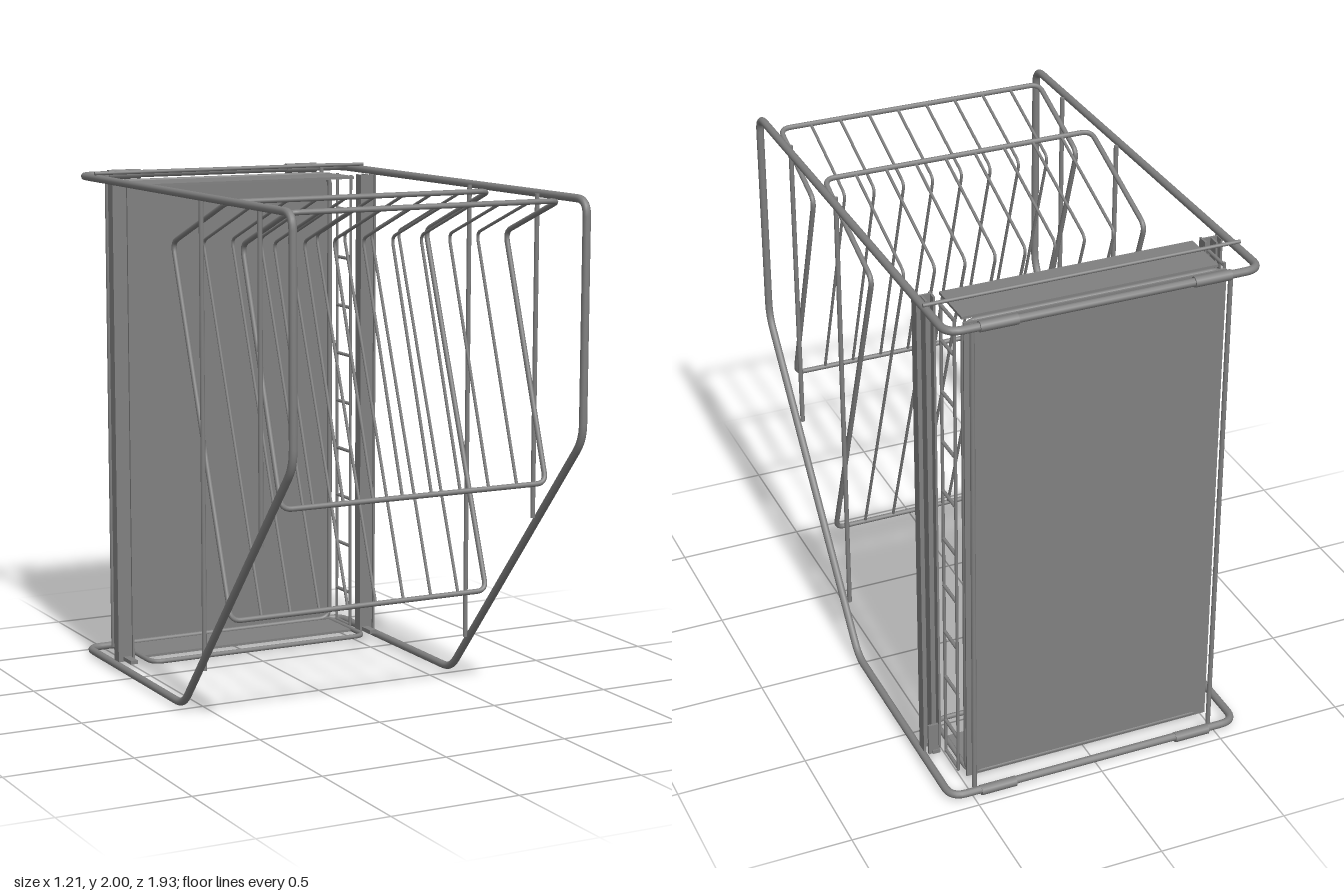
import * as THREE from 'three';

const steel = new THREE.MeshStandardMaterial({ color: 0x808080 });
steel.name = 'grey steel';
const V = (x, y, z) => new THREE.Vector3(x, y, z);

// Path of straight runs whose sampled points become the tube rings
class BentPath extends THREE.Curve {
  constructor(points, closed) {
    super();
    this.points = points;
    this.closed = closed;
  }
  getPoint(t) {
    const n = this.points.length - 1;
    const i = Math.min(Math.floor(t * n + 1e-6), n - 1);
    return this.points[i].clone().lerp(this.points[i + 1], t * n - i);
  }
  getPointAt(t) { return this.getPoint(t); }
  getTangentAt(t) {
    const p = this.points, n = p.length - 1, i = Math.round(t * n);
    const dir = (a) => p[a + 1].clone().sub(p[a]).normalize();
    const before = i > 0 ? dir(i - 1) : this.closed ? dir(n - 1) : dir(0);
    const after = i < n ? dir(i) : this.closed ? dir(0) : dir(n - 1);
    return before.add(after).normalize();
  }
}

// Wire bent with rounded corners
function wire(name, corners, radius, bend, closed = false, sides = 10) {
  const pts = [], n = corners.length;
  corners.forEach((c, i) => {
    if (!closed && (i === 0 || i === n - 1)) return pts.push(c.clone());
    const toward = (q) => c.clone().add(q.clone().sub(c).setLength(Math.min(bend, q.distanceTo(c) * 0.45)));
    const arc = new THREE.QuadraticBezierCurve3(toward(corners[(i + n - 1) % n]), c, toward(corners[(i + 1) % n]));
    pts.push(...arc.getPoints(6));
  });
  if (closed) pts.push(pts[0].clone());
  const path = new BentPath(pts, closed);
  const mesh = new THREE.Mesh(new THREE.TubeGeometry(path, pts.length - 1, radius, sides, closed), steel);
  mesh.name = name;
  return mesh;
}

// Straight capped rod between two points
function rod(name, a, b, radius) {
  const mesh = new THREE.Mesh(new THREE.CylinderGeometry(radius, radius, a.distanceTo(b), 10), steel);
  mesh.position.copy(a).add(b).multiplyScalar(0.5);
  mesh.quaternion.setFromUnitVectors(V(0, 1, 0), b.clone().sub(a).normalize());
  mesh.name = name;
  return mesh;
}

// Box given by its limits on each axis
function box(name, x0, x1, y0, y1, z0, z1) {
  const mesh = new THREE.Mesh(new THREE.BoxGeometry(Math.abs(x1 - x0), y1 - y0, z1 - z0), steel);
  mesh.position.set((x0 + x1) / 2, (y0 + y1) / 2, (z0 + z1) / 2);
  mesh.name = name;
  return mesh;
}

// Bent wire rack: side profile of [z, y] points, closed rim and eight inner wires
function rack(name, profile) {
  const g = new THREE.Group();
  g.name = name;
  const line = (x) => profile.map(([z, y]) => V(x, y, z));
  g.add(wire('rackRim', [...line(-0.545), ...line(0.545).reverse()], 0.01, 0.04, true));
  for (let i = 0; i < 8; i++) g.add(wire('rackWire', line(-0.42 + i * 0.12), 0.006, 0.03, false, 8));
  return g;
}

export function createModel() {
  const model = new THREE.Group();
  model.name = 'wireRackFrame';
  const W = 0.588, top = 1.973, bottom = 0.024, back = -0.945, front = 0.953;

  // Main frame: one continuous bent tube
  const side = (x) => [V(x, top, back), V(x, top, front), V(x, 1.1, front), V(x, bottom, 0.015), V(x, bottom, back)];
  model.add(wire('mainFrame', [...side(W), ...side(-W).reverse()], 0.015, 0.06, true, 12));

  // Two sloping racks
  model.add(rack('frontRack', [[0.775, 0.915], [0.468, 1.82], [0.835, 1.962]]));
  model.add(rack('rearRack', [[0.355, 0.42], [-0.138, 1.775], [0.345, 1.962]]));

  // Back panel with top and bottom plates
  model.add(box('backPanel', -0.495, 0.495, 0.04, 1.955, -0.872, -0.862));
  model.add(box('topPlate', -0.485, 0.485, 1.945, 1.955, -0.83, -0.63));
  model.add(box('bottomPlate', -0.485, 0.485, 0.042, 0.052, -0.83, -0.63));

  // Wire loops around the panel and under the tray
  model.add(wire('panelLoop', [V(-0.49, 0.05, -0.856), V(0.49, 0.05, -0.856),
    V(0.49, 1.95, -0.856), V(-0.49, 1.95, -0.856)], 0.01, 0.05, true));
  model.add(wire('trayLoop', [V(-0.482, 0.05, -0.865), V(0.482, 0.05, -0.865),
    V(0.482, 0.05, -0.52), V(-0.482, 0.05, -0.52)], 0.01, 0.05, true));
  model.add(rod('topRod', V(-0.6, 1.993, -0.768), V(0.6, 1.993, -0.768), 0.007));

  for (const s of [-1, 1]) {
    // Frame sleeves
    for (const y of [top, 0.02])
      model.add(rod('frameSleeve', V(s * 0.33, y, back), V(s * 0.47, y, back), 0.02));

    // Side uprights and rear uprights
    model.add(rod('sideUpright', V(s * 0.566, 0.76, 0.653), V(s * 0.566, top, 0.653), 0.009));
    model.add(rod('sideUpright', V(s * 0.566, 0.19, 0.163), V(s * 0.566, top, 0.163), 0.009));
    model.add(rod('rearUpright', V(s * 0.485, bottom, -0.92), V(s * 0.485, top, -0.92), 0.009));

    // Channel post
    const post = new THREE.Group();
    post.name = 'channelPost';
    post.add(box('postFace', s * 0.515, s * 0.585, 0.035, 1.96, -0.642, -0.634));
    post.add(box('postWeb', s * 0.55, s * 0.558, 0.035, 1.96, -0.685, -0.642));
    post.add(box('postLip', s * 0.577, s * 0.585, 0.035, 1.96, -0.67, -0.625));
    post.add(box('postLip', s * 0.515, s * 0.523, 0.035, 1.96, -0.67, -0.625));
    model.add(post);

    // Ladder between post and panel
    const ladder = new THREE.Group();
    ladder.name = 'sideLadder';
    for (const z of [-0.705, -0.825])
      ladder.add(rod('ladderRail', V(s * 0.51, 0.04, z), V(s * 0.51, 1.955, z), 0.006));
    for (let i = 0; i < 9; i++) {
      const y = 0.19 + i * 0.2025;
      ladder.add(rod('ladderRung', V(s * 0.51, y, -0.705), V(s * 0.51, y, -0.825), 0.007));
    }
    for (const y of [0.05, 1.945])
      ladder.add(rod('ladderEnd', V(s * 0.51, y, -0.705), V(s * 0.51, y, -0.825), 0.007));
    model.add(ladder);

    // Foot bracket and slide
    model.add(box('footBracket', s * 0.535, s * 0.575, 0.04, 0.17, -0.695, -0.685));
    model.add(box('footSlide', s * 0.53, s * 0.56, 0.04, 0.055, -0.7, -0.56));
  }
  return model;
}
